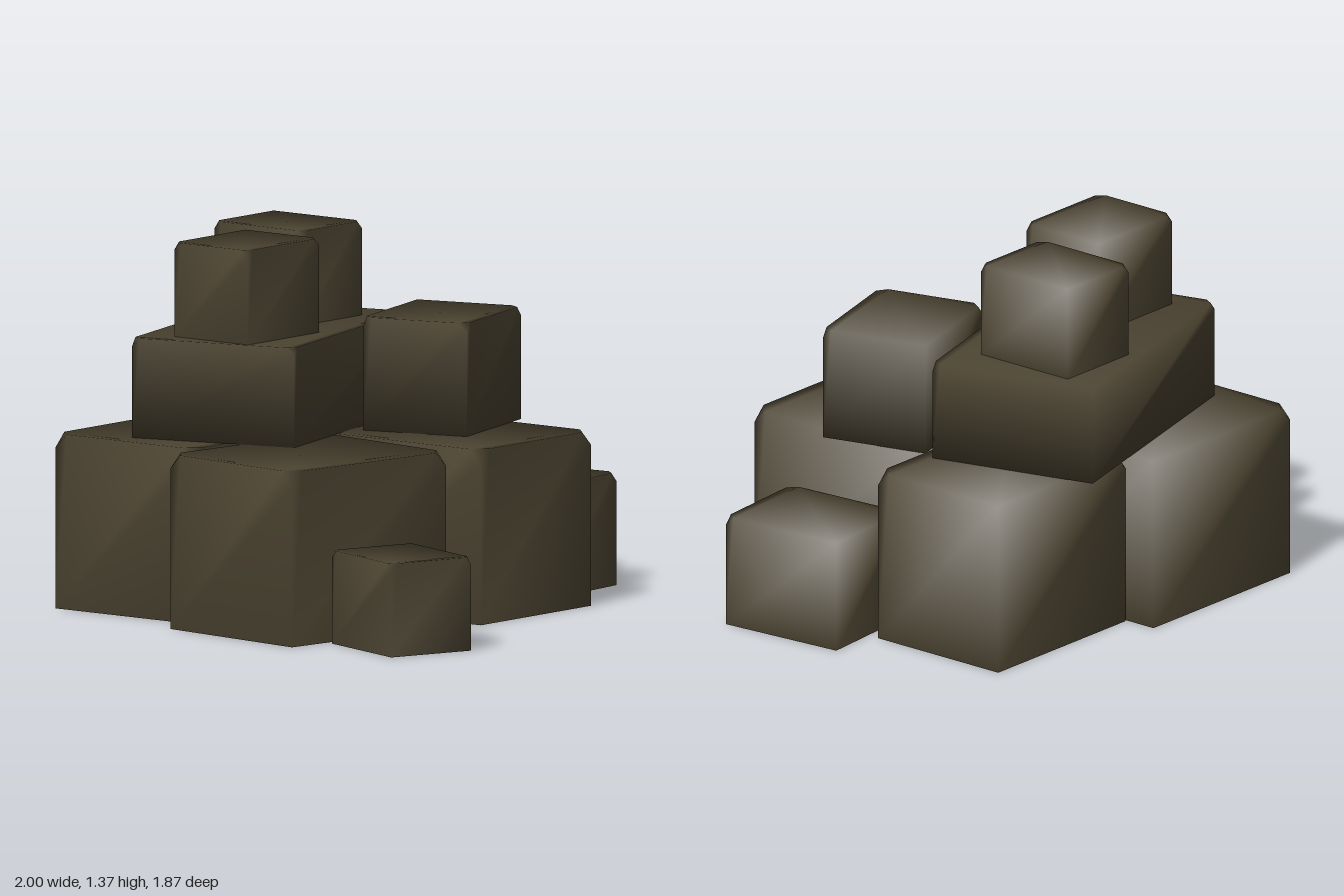
import * as THREE from 'three';
import { mergeVertices } from 'three/addons/utils/BufferGeometryUtils.js';

const stone = new THREE.MeshStandardMaterial({ color: 0x4a4230, side: THREE.DoubleSide });
stone.name = 'dark stone';

// Block corners, counterclockwise from above, and how far each top corner is chipped
const corners = [
  { x: -1, z: 1, chip: 1 },
  { x: 1, z: 1, chip: 1 },
  { x: 1, z: -1, chip: 0 },
  { x: -1, z: -1, chip: 1 },
];

// Smooth-shaded block with chipped top corners; the base is open unless closed is set
function chippedBlock(width, height, depth, closed) {
  const ring = corners.map(({ x, z, chip }, i) => {
    const size = chip * height * 0.08;
    const base = new THREE.Vector3(x * width / 2, 0, z * depth / 2);
    const top = base.clone().setY(height);
    const toward = (c) =>
      top.clone().add(new THREE.Vector3(c.x - x, 0, c.z - z).normalize().multiplyScalar(size));
    return {
      base,
      down: base.clone().setY(height - size),
      prev: toward(corners[(i + 3) % 4]),
      next: toward(corners[(i + 1) % 4]),
    };
  });

  const faces = [ring.flatMap((c) => [c.prev, c.next])];
  ring.forEach((a, i) => {
    const b = ring[(i + 1) % 4];
    faces.push([a.base, b.base, b.down, b.prev, a.next, a.down]);
    if (corners[i].chip) faces.push([a.down, a.next, a.prev]);
  });
  if (closed) faces.push(ring.map((c) => c.base).reverse());

  // Fan each face into triangles, skipping those collapsed at sharp corners
  const points = [];
  for (const face of faces) {
    for (let i = 1; i < face.length - 1; i++) {
      const triangle = new THREE.Triangle(face[0], face[i], face[i + 1]);
      if (triangle.getArea() > 1e-8) points.push(triangle.a, triangle.b, triangle.c);
    }
  }
  const geometry = mergeVertices(new THREE.BufferGeometry().setFromPoints(points));
  geometry.computeVertexNormals();
  return geometry;
}

// name, centre [x, z], bottom, top, [width, depth], turn about y, closed base
const blocks = [
  // ground layer
  ['backRightBlock', [-0.37, -0.614], 0, 0.65, [0.78, 0.65], 0, false],
  ['backLeftBlock', [0.392, -0.523], 0, 0.65, [0.725, 0.577], 0, false],
  ['frontRightBlock', [-0.57, 0.1], 0, 0.65, [0.777, 0.65], -0.138, false],
  ['frontLeftBlock', [0.202, 0.174], 0, 0.65, [0.647, 0.757], 0, false],
  // loose stones beside the pile
  ['leftStone', [0.77, 0.062], 0, 0.42, [0.417, 0.497], 0.086, false],
  ['fallenStone', [-0.742, 0.677], 0, 0.347, [0.342, 0.42], -0.347, false],
  // second layer, overhanging the blocks below
  ['middleSlab', [-0.08, -0.47], 0.65, 1.02, [1.05, 0.65], 0.26, true],
  ['perchedStone', [0.305, 0.027], 0.65, 1.07, [0.497, 0.415], 0.265, true],
  // top layer
  ['topRightStone', [-0.337, -0.378], 1.02, 1.37, [0.417, 0.347], 0, false],
  ['topLeftStone', [0.148, -0.572], 1.02, 1.37, [0.347, 0.417], 0, false],
];

export function createModel() {
  const model = new THREE.Group();
  model.name = 'rockPile';
  for (const [name, [x, z], bottom, top, [width, depth], turn, closed] of blocks) {
    const mesh = new THREE.Mesh(chippedBlock(width, top - bottom, depth, closed), stone);
    mesh.name = name;
    mesh.position.set(x, bottom, z);
    mesh.rotation.y = turn;
    model.add(mesh);
  }
  return model;
}
